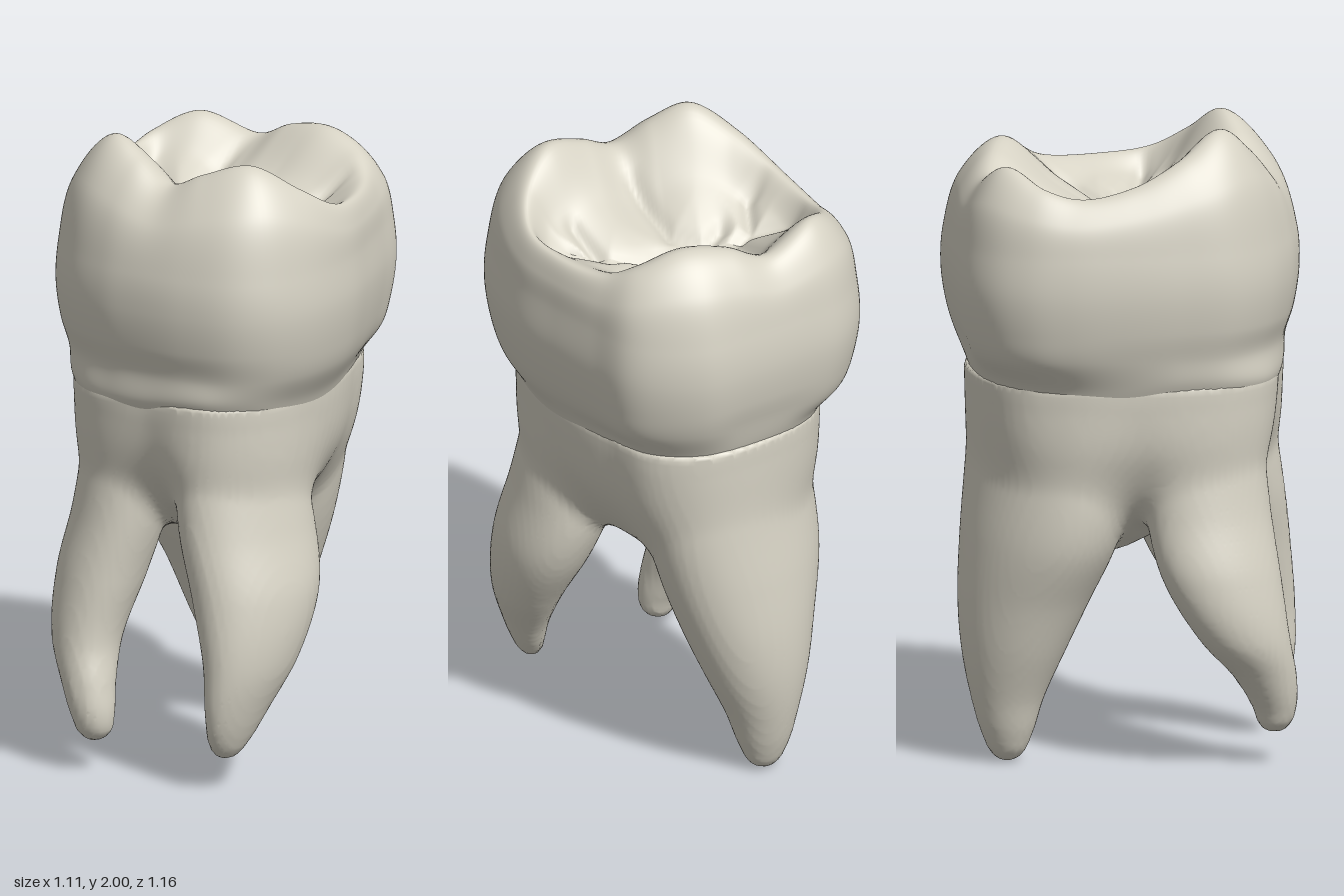
import * as THREE from 'three';

const enamel = new THREE.MeshStandardMaterial({ color: 0xd6d2c4 });
enamel.name = 'ivory';

// Closed curve through [x, y, z] points, looked up by angle around the y axis
const BINS = 256;
function byAngle(points) {
  const curve = new THREE.CatmullRomCurve3(points.map(p => new THREE.Vector3(...p)), true);
  const samples = Array.from({ length: 6000 }, (_, i) => curve.getPoint(i / 6000));
  const angles = samples.map(p => Math.atan2(p.z, p.x));
  const table = [];
  for (let k = 0; k < BINS; k++) {
    const a = -Math.PI + (k / BINS) * Math.PI * 2;
    let best = 0, err = 9;
    angles.forEach((s, i) => {
      let d = Math.abs(s - a);
      d = Math.min(d, Math.PI * 2 - d);
      if (d < err) { err = d; best = i; }
    });
    table.push(samples[best]);
  }
  return angle => {
    const f = ((angle + Math.PI) / (Math.PI * 2)) * BINS;
    const k = Math.floor(f);
    return table[k % BINS].clone().lerp(table[(k + 1) % BINS], f - k);
  };
}
const flat = points => points.map(([x, z]) => [x, 0, z]);

// Widest outline of the crown, seen from above
const outline = byAngle(flat([
  [0, -0.58], [0.15, -0.56], [0.25, -0.505], [0.33, -0.38], [0.42, -0.23], [0.5, -0.08], [0.545, 0.08],
  [0.55, 0.2], [0.52, 0.32], [0.45, 0.41], [0.3, 0.485], [0.1, 0.53], [0, 0.537], [-0.15, 0.515], [-0.29, 0.44],
  [-0.395, 0.29], [-0.48, 0.12], [-0.535, -0.03], [-0.555, -0.16], [-0.53, -0.28], [-0.45, -0.385],
  [-0.3, -0.46], [-0.14, -0.53],
]));

// Narrow outline of the neck where crown and roots meet
const neck = byAngle(flat([
  [0, -0.475], [0.16, -0.435], [0.265, -0.315], [0.36, -0.16], [0.42, 0], [0.45, 0.15], [0.435, 0.29], [0.35, 0.4],
  [0.15, 0.465], [0, 0.485], [-0.12, 0.475], [-0.24, 0.41], [-0.33, 0.28], [-0.4, 0.1], [-0.435, -0.08],
  [-0.425, -0.215], [-0.355, -0.33], [-0.19, -0.425],
]));

// Crest running over the cusps and valleys of the biting edge
const crest = byAngle([
  [-0.12, 2, 0.34], [0.0, 1.95, 0.345], [0.11, 1.885, 0.335], [0.22, 1.93, 0.3], [0.35, 1.97, 0.22], [0.44, 1.89, 0.1],
  [0.455, 1.82, -0.03], [0.4, 1.8, -0.17], [0.28, 1.81, -0.34], [0.19, 1.86, -0.4], [0.05, 1.91, -0.4],
  [-0.1, 1.89, -0.39], [-0.22, 1.84, -0.37], [-0.38, 1.9, -0.27], [-0.45, 1.85, -0.14], [-0.43, 1.82, -0.02],
  [-0.36, 1.85, 0.13], [-0.25, 1.93, 0.27],
]);

// Fissures of the biting surface, as [x, z] paths
const fissures = [
  [[-0.4, -0.02], [-0.25, 0], [-0.18, -0.04], [-0.05, -0.02], [0.08, -0.05], [0.2, -0.07], [0.3, -0.04], [0.42, -0.04]],
  [[-0.16, 0.03], [-0.1, -0.01], [0, 0.04], [0.05, 0.15], [0.08, 0.22]],
  [[-0.2, -0.05], [-0.23, -0.2], [-0.22, -0.38]],
  [[-0.25, 0], [-0.26, 0.1], [-0.35, 0.16]],
  [[0.08, -0.05], [0.19, -0.2], [0.22, -0.32]],
  [[0.22, -0.07], [0.3, 0.05]],
];
function fissureDepth(x, z) {
  let d = 9;
  for (const path of fissures) for (let i = 1; i < path.length; i++) {
    const [ax, az] = path[i - 1], bx = path[i][0] - ax, bz = path[i][1] - az;
    const t = THREE.MathUtils.clamp(((x - ax) * bx + (z - az) * bz) / (bx * bx + bz * bz), 0, 1);
    d = Math.min(d, Math.hypot(x - ax - bx * t, z - az - bz * t));
  }
  return 0.02 * Math.exp(-((d / 0.022) ** 2)) + 0.02 * Math.exp(-((d / 0.07) ** 2));
}

// Crown: one profile per angle, from the neck over the crest down to the fissure
function crownGeometry() {
  const cols = 180, rows = 100, pos = [], index = [];
  const sides = [[1.31, 0.92], [1.4, 0.97], [1.52, 1], [1.64, 0.985]];
  for (let c = 0; c < cols; c++) {
    const a = -Math.PI + (c / cols) * Math.PI * 2;
    const o = outline(a), r = crest(a), wave = 0.012 * Math.cos(4 * a);
    const pts = [[1.16, 0.95], [1.225, 1.015]].map(([y, s]) => neck(a).multiplyScalar(s).setY(y - wave));
    for (const [y, s] of sides) pts.push(o.clone().multiplyScalar(s).setY(y));
    const shoulder = o.clone().lerp(r, 0.32).setY(THREE.MathUtils.lerp(1.61, r.y, 0.64));
    const floorX = r.x * 0.7;
    const floor = new THREE.Vector3(floorX, 1.69 + 0.1 * Math.abs(r.x), -0.03 - 0.02 * Math.sin(12 * floorX));
    const slope = r.clone().lerp(floor, 0.5).setY(THREE.MathUtils.lerp(r.y, floor.y, 0.6));
    pts.push(shoulder, r, slope, floor);
    const profile = new THREE.CatmullRomCurve3(pts);
    for (let j = 0; j <= rows; j++) {
      const t = j / rows, p = profile.getPoint(t);
      const inside = THREE.MathUtils.smoothstep(t, 7 / 9, 8 / 9);
      pos.push(p.x, p.y - inside * fissureDepth(p.x, p.z), p.z);
    }
  }
  for (let c = 0; c < cols; c++) for (let j = 0; j < rows; j++) {
    const p = c * (rows + 1) + j, q = ((c + 1) % cols) * (rows + 1) + j;
    index.push(p, p + 1, q, q, p + 1, q + 1);
  }
  return meshFrom(pos, index);
}

function meshFrom(pos, index) {
  const g = new THREE.BufferGeometry();
  g.setAttribute('position', new THREE.Float32BufferAttribute(pos, 3));
  g.setIndex(index);
  g.computeVertexNormals();
  return g;
}

// Root cross-sections: height, centre x, centre z, and two radii whose axes are turned about y
const roots = [
  { turn: 0, rows: [[0.1, 0.375, 0.35, 0.02, 0.025], [0.12, 0.378, 0.35, 0.037, 0.05], [0.16, 0.385, 0.345, 0.051, 0.08],
    [0.25, 0.397, 0.325, 0.073, 0.12], [0.4, 0.4, 0.27, 0.112, 0.175], [0.6, 0.36, 0.21, 0.155, 0.23],
    [0.8, 0.3, 0.19, 0.165, 0.245], [1.15, 0.24, 0.2, 0.15, 0.2]] },
  { turn: Math.PI / 4, rows: [[0.1, -0.055, 0.5, 0.025, 0.02], [0.12, -0.055, 0.5, 0.047, 0.047], [0.17, -0.06, 0.502, 0.066, 0.066],
    [0.28, -0.1, 0.483, 0.1, 0.086], [0.4, -0.155, 0.435, 0.145, 0.11], [0.6, -0.165, 0.36, 0.195, 0.142],
    [0.8, -0.135, 0.31, 0.205, 0.15], [1.15, -0.1, 0.27, 0.2, 0.15]] },
  { turn: Math.PI / 4, rows: [[0, -0.225, -0.31, 0.02, 0.02], [0.02, -0.225, -0.31, 0.045, 0.047], [0.08, -0.225, -0.31, 0.076, 0.078],
    [0.2, -0.22, -0.31, 0.112, 0.118], [0.35, -0.205, -0.295, 0.155, 0.18], [0.5, -0.185, -0.27, 0.19, 0.235],
    [0.7, -0.165, -0.225, 0.22, 0.305], [0.9, -0.135, -0.205, 0.225, 0.33], [1.15, -0.1, -0.2, 0.22, 0.32]] },
];
// Trunk follows the neck outline: height, centre x, centre z, scale x, scale z
const trunk = [[0.65, 0, -0.03, 0.1, 0.1], [0.72, 0, -0.03, 0.36, 0.36], [0.81, 0, -0.02, 0.61, 0.61], [0.9, 0, -0.01, 0.8, 0.78],
  [1, 0, 0, 0.93, 0.91], [1.15, 0, 0, 0.985, 0.985], [1.3, 0, 0, 0.985, 0.985]];

const sections = rows => {
  const interp = new THREE.CubicInterpolant(rows.map(r => r[0]), rows.flatMap(r => r.slice(1)), 4);
  return y => [rows[0][0] - y, ...interp.evaluate(y)];
};
const smoothMin = (a, b, k) => {
  const h = Math.max(k - Math.abs(a - b), 0) / k;
  return Math.min(a, b) - h * h * k * 0.25;
};

// Roots: blended field of trunk and three roots, turned into a smooth skin
function rootGeometry() {
  const h = 0.016, n = [76, 82, 80], low = [-0.6, -0.032, -0.64];
  const step = [1, n[0], n[0] * n[1]];
  const field = new Float32Array(n[0] * n[1] * n[2]);
  const radius = Array.from({ length: 1025 }, (_, i) => {
    const p = neck(-Math.PI + (i / 1024) * Math.PI * 2);
    return Math.hypot(p.x, p.z);
  });
  const trunkAt = sections(trunk);
  const rootAt = roots.map(({ turn, rows }) => ({ cos: Math.cos(turn), sin: Math.sin(turn), at: sections(rows) }));
  for (let j = 0; j < n[1]; j++) {
    const y = low[1] + j * h;
    const cuts = rootAt.map(r => [r.cos, r.sin, ...r.at(y)]), [base, tx, tz, sx, sz] = trunkAt(y);
    for (let k = 0; k < n[2]; k++) for (let i = 0; i < n[0]; i++) {
      const x = low[0] + i * h, z = low[2] + k * h;
      const u = (x - tx) / sx, v = (z - tz) / sz;
      const edge = radius[Math.round((Math.atan2(v, u) / (Math.PI * 2) + 0.5) * 1024)];
      let d = Math.max((Math.hypot(u, v) - edge) * Math.min(sx, sz), base);
      for (const [cos, sin, end, cx, cz, ra, rb] of cuts) {
        const p = (x - cx) * cos + (z - cz) * sin, q = (z - cz) * cos - (x - cx) * sin;
        const e = (Math.hypot(p / ra, q / rb) - 1) * Math.min(ra, rb);
        d = smoothMin(d, Math.max(e, end), 0.09);
      }
      field[i + j * step[1] + k * step[2]] = Math.max(d, y - 1.225);
    }
  }
  // One vertex per cell the skin passes through, at the mean edge crossing
  const pos = [], index = [], cell = new Int32Array(field.length).fill(-1);
  const corner = c => (c & 1) * step[0] + ((c >> 1) & 1) * step[1] + ((c >> 2) & 1) * step[2];
  const eachCell = (from, fn) => {
    for (let k = from; k < n[2] - 1; k++) for (let j = from; j < n[1] - 1; j++) for (let i = from; i < n[0] - 1; i++)
      fn([i, j, k], i + j * step[1] + k * step[2]);
  };
  eachCell(0, (ijk, id) => {
    const sum = [0, 0, 0];
    let hits = 0;
    for (let c = 0; c < 8; c++) for (let a = 0; a < 3; a++) {
      if (c & (1 << a)) continue;
      const f0 = field[id + corner(c)], f1 = field[id + corner(c | (1 << a))];
      if ((f0 < 0) === (f1 < 0)) continue;
      hits++;
      for (let b = 0; b < 3; b++) sum[b] += b === a ? f0 / (f0 - f1) : (c >> b) & 1;
    }
    if (!hits) return;
    cell[id] = pos.length / 3;
    for (let b = 0; b < 3; b++) pos.push(low[b] + h * (ijk[b] + sum[b] / hits));
  });
  // One quad around every grid edge that crosses the skin
  eachCell(1, (ijk, id) => {
    for (let a = 0; a < 3; a++) {
      const inside = field[id] < 0;
      if (inside === field[id + step[a]] < 0) continue;
      const b = step[(a + 1) % 3], c = step[(a + 2) % 3];
      const q = [id - b - c, id - c, id, id - b].map(m => cell[m]);
      if (!inside) q.reverse();
      index.push(q[0], q[1], q[2], q[0], q[2], q[3]);
    }
  });
  return meshFrom(pos, index);
}

export function createModel() {
  const tooth = new THREE.Group();
  tooth.name = 'molar';
  const add = (name, geometry) => {
    const mesh = new THREE.Mesh(geometry, enamel);
    mesh.name = name;
    tooth.add(mesh);
  };
  add('crown', crownGeometry());
  add('roots', rootGeometry());
  return tooth;
}
